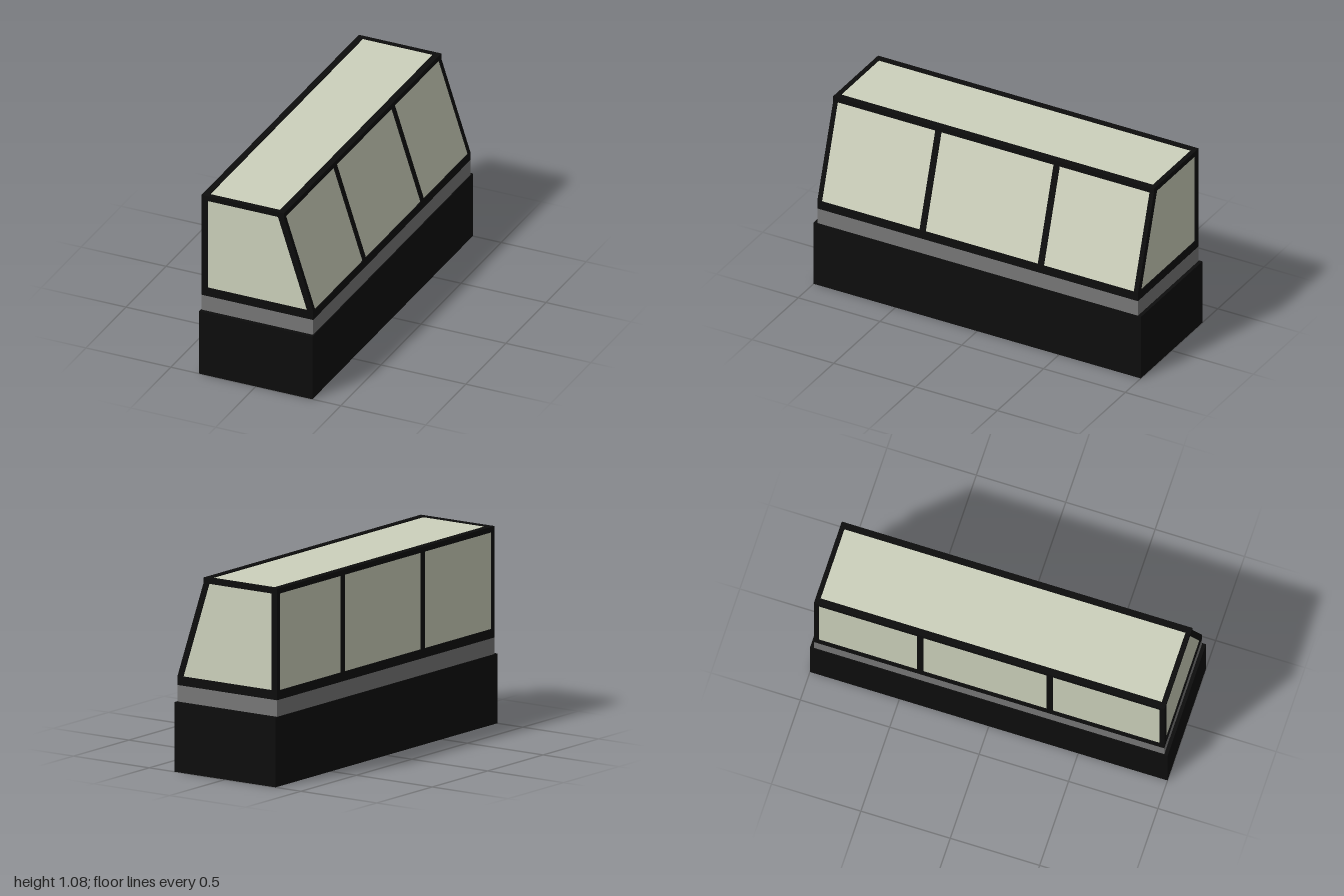
import * as THREE from 'three';

const black = new THREE.MeshStandardMaterial({ color: 0x0d0d0d });
const grey = new THREE.MeshStandardMaterial({ color: 0x777777 });
const glass = new THREE.MeshStandardMaterial({ color: 0xcdd1bc });

// Main levels and extents of the display case
const HALF_X = 0.328, HALF_Z = 0.98;
const SILL = 0.47, PANE_LOW = 0.52, PANE_HIGH = 1.047, TOP = 1.077;
const ROOF_X = 0.157, BAR = 0.036, END_BAR = 0.026, RECESS = 0.005;

export function createModel() {
  const model = new THREE.Group();

  const add = (name, geometry, material) => {
    const mesh = new THREE.Mesh(geometry, material);
    mesh.name = name;
    model.add(mesh);
  };
  const box = (name, x0, x1, y0, y1, z0, z1, material) =>
    add(name, new THREE.BoxGeometry(x1 - x0, y1 - y0, z1 - z0)
      .translate((x0 + x1) / 2, (y0 + y1) / 2, (z0 + z1) / 2), material);
  const polygon = points => new THREE.Shape(points.map(p => new THREE.Vector2(...p)));
  // Extrude a cross-section in x/y from z0 to z1
  const extrude = (name, shape, z0, z1, material) =>
    add(name, new THREE.ExtrudeGeometry(shape, { depth: z1 - z0, bevelEnabled: false })
      .translate(0, 0, z0), material);

  // Plinth and the grey band above it
  box('base', -0.333, 0.333, 0, 0.38, -1, 1, black);
  box('band', -HALF_X, HALF_X, 0.38, SILL, -HALF_Z, HALF_Z, grey);

  // Panes: one recessed body filling the frame
  extrude('glassPanes', polygon([
    [-HALF_X + RECESS, SILL + 0.01], [HALF_X - RECESS, SILL + 0.01],
    [HALF_X - RECESS, PANE_LOW], [ROOF_X - RECESS, PANE_HIGH],
    [ROOF_X - RECESS, TOP - RECESS], [-HALF_X + RECESS, TOP - RECESS],
  ]), -HALF_Z + RECESS, HALF_Z - RECESS, glass);

  // End frames with a sloped opening
  for (const [name, z] of [['frontFrame', HALF_Z - END_BAR], ['backFrame', -HALF_Z]]) {
    const frame = polygon([
      [-HALF_X, SILL], [HALF_X, SILL], [HALF_X, PANE_LOW],
      [ROOF_X, PANE_HIGH], [ROOF_X, TOP], [-HALF_X, TOP],
    ]);
    frame.holes.push(polygon([
      [-HALF_X + BAR, PANE_LOW], [-HALF_X + BAR, PANE_HIGH],
      [ROOF_X - BAR, PANE_HIGH], [HALF_X - BAR, PANE_LOW],
    ]));
    extrude(name, frame, z, z + END_BAR, black);
  }

  // Long rails: sill and the two roof edges
  box('sill', -HALF_X, HALF_X, SILL, PANE_LOW, -HALF_Z, HALF_Z, black);
  box('rightRoofRail', -HALF_X, -HALF_X + BAR, PANE_HIGH, TOP, -HALF_Z, HALF_Z, black);
  box('leftRoofRail', ROOF_X - BAR, ROOF_X, PANE_HIGH, TOP, -HALF_Z, HALF_Z, black);

  // Mullions dividing both long sides into three panes
  for (const z of [-0.385, 0.338]) {
    const z0 = z - 0.018, z1 = z + 0.018;
    box('uprightMullion', -HALF_X, -HALF_X + BAR, PANE_LOW, PANE_HIGH, z0, z1, black);
    extrude('slopedMullion', polygon([
      [HALF_X - BAR, PANE_LOW], [HALF_X, PANE_LOW],
      [ROOF_X, PANE_HIGH], [ROOF_X - BAR, PANE_HIGH],
    ]), z0, z1, black);
  }

  return model;
}
